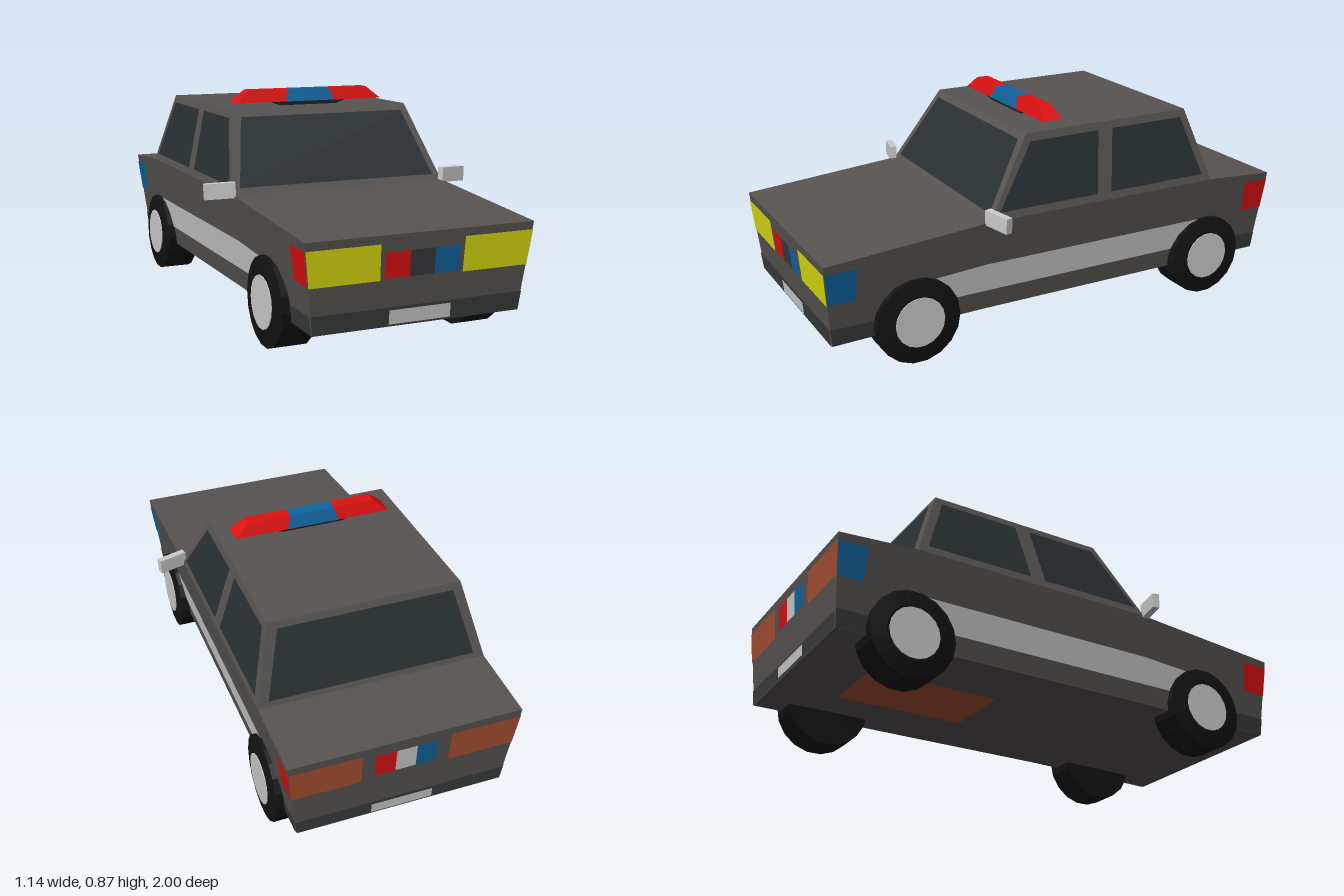
import * as THREE from 'three';

const C = {
  body: 0x575452, trim: 0x3a3c3c, glass: 0x2a3032, tyre: 0x131313, dark: 0x3a3a3c,
  red: 0xdd1010, blue: 0x10649e, yellow: 0xdcdc10, orange: 0xa85032, grey: 0xcccccc,
};
const material = (color, side = THREE.FrontSide) =>
  new THREE.MeshStandardMaterial({ color, side, flatShading: true });

function fromTriangles(name, points, color, side) {
  const g = new THREE.BufferGeometry();
  g.setAttribute('position', new THREE.Float32BufferAttribute(points.flat(), 3));
  g.computeVertexNormals();
  const mesh = new THREE.Mesh(g, material(color, side));
  mesh.name = name;
  return mesh;
}

// Fan triangles of a convex polygon
function fan(p) {
  const out = [];
  for (let i = 1; i < p.length - 1; i++) out.push(p[0], p[i], p[i + 1]);
  return out;
}

// Closed solid through a row of rings, each counter-clockwise seen from the end
function loft(name, rings, color) {
  const tris = [...fan([...rings[0]].reverse()), ...fan(rings[rings.length - 1])];
  for (let i = 0; i < rings.length - 1; i++) {
    rings[i].forEach((a, j) => {
      const k = (j + 1) % rings[i].length;
      tris.push(...fan([a, rings[i][k], rings[i + 1][k], rings[i + 1][j]]));
    });
  }
  return fromTriangles(name, tris, color);
}

// Level rectangle, used for tapered blocks
const rect = (x0, x1, z0, z1, y) => [[x0, y, z1], [x1, y, z1], [x1, y, z0], [x0, y, z0]];

// Surfaces of the body and cabin, on which the thin panels lie
const E = 0.003;
const sideX = (y) => 0.41 + (y - 0.135) * 0.122;
const cabinX = (y) => 0.456 - (y - 0.51) * 0.25;
const onSide = (s) => (z, y) => [s * (sideX(y) + E), y, z];
const onCabin = (s) => (z, y) => [s * (cabinX(y) + E), y, z];
const onFront = (x, y, e = E) => [x, y, 0.97 + (y - 0.13) * 0.091 + e];
const onBack = (x, y, e = E) => [x, y, -0.97 - (y - 0.14) * 0.086 - e];
const onScreen = (x, y) => [x, y, 0.34 - (y - 0.51) * 0.633 + E];
const onRearScreen = (x, y) => [x, y, -0.69 + (y - 0.51) * 0.333 - E];

export function createModel() {
  const car = new THREE.Group();
  car.name = 'car';
  const panel = (name, pts, map, color, layer = E) => car.add(
    fromTriangles(name, fan(pts.map(([u, v]) => map(u, v, layer))), color, THREE.DoubleSide));
  const box2 = (u0, u1, v0, v1) => [[u0, v0], [u1, v0], [u1, v1], [u0, v1]];

  // Lower body, from back to front
  const section = ([zb, yb, zt, yt]) => [
    [-sideX(yb), yb, zb], [sideX(yb), yb, zb], [sideX(yt), yt, zt], [-sideX(yt), yt, zt]];
  car.add(loft('body', [
    [-0.97, 0.14, -1, 0.49], [-0.69, 0.14, -0.69, 0.51],
    [0.34, 0.14, 0.35, 0.51], [0.97, 0.13, 1, 0.46],
  ].map(section), C.body));

  // Cabin and its front and rear windows
  car.add(loft('cabin', [
    rect(-0.456, 0.456, -0.69, 0.34, 0.51), rect(-0.381, 0.381, -0.59, 0.15, 0.81)], C.body));
  const screen = [[-0.42, 0.533], [0.42, 0.533], [0.354, 0.785], [-0.354, 0.785]];
  panel('windscreen', screen, onScreen, C.glass);
  panel('rearWindow', screen.map(([x, y]) => [x * 0.98, y]), onRearScreen, C.glass);

  // Front lights, grille, bumper and plate
  const end = (name, map, y0, y1, lampColor, innerX, low) => {
    for (const s of [1, -1]) {
      panel(name + 'Light', [[s * (innerX + 0.003), y1], [s * innerX, y0],
        [s * sideX(y0), y0], [s * sideX(y1), y1]].reverse(), map, lampColor);
    }
    panel(name + 'Bumper', [[-sideX(low), low], [sideX(low), low],
      [sideX(0.2), 0.2], [-sideX(0.2), 0.2]], map, C.trim);
    panel(name + 'Plate', box2(-0.122, 0.122, low + 0.008, 0.19), map, C.grey, 2 * E);
  };
  end('front', onFront, 0.3, 0.43, C.yellow, 0.163, 0.13);
  end('rear', onBack, 0.33, 0.46, C.orange, 0.17, 0.14);
  [C.red, C.dark, C.blue].forEach((color, i) => panel('frontGrille',
    box2(-0.147 + i * 0.098, -0.049 + i * 0.098, 0.305, 0.4), onFront, color));
  [C.blue, C.grey, C.red].forEach((color, i) => panel('rearBadgePanel',
    box2(-0.12 + i * 0.08, -0.04 + i * 0.08, 0.345, 0.445), onBack, color));

  for (const s of [1, -1]) {
    // Side windows
    panel('frontSideWindow',
      [[0.3, 0.54], [0.135, 0.78], [-0.17, 0.78], [-0.135, 0.54]], onCabin(s), C.glass);
    panel('rearSideWindow',
      [[-0.2, 0.54], [-0.235, 0.78], [-0.565, 0.78], [-0.645, 0.54]], onCabin(s), C.glass);

    // Side stripe, corner lamps and bumper ends
    panel('sideStripe', [[0.62, 0.22], [0.62, 0.318], [0.35, 0.335], [-0.66, 0.335],
      [-0.66, 0.22]], onSide(s), C.grey);
    panel('frontCornerLamp', [[0.88, 0.305], [0.985, 0.305], [0.997, 0.43], [0.875, 0.43]],
      onSide(s), s > 0 ? C.blue : C.red);
    panel('rearCornerLamp', [[-0.885, 0.33], [-0.986, 0.33], [-0.997, 0.46], [-0.88, 0.46]],
      onSide(s), s > 0 ? C.red : C.blue);
    panel('frontBumperEnd', [[0.7, 0.137], [0.97, 0.13], [0.976, 0.2], [0.7, 0.2]],
      onSide(s), C.trim);
    panel('rearBumperEnd', [[-0.72, 0.14], [-0.97, 0.14], [-0.975, 0.21], [-0.72, 0.21]],
      onSide(s), C.trim);

    // Door mirror, swept backwards
    const mirror = new THREE.Mesh(new THREE.BoxGeometry(0.12, 0.06, 0.028), material(C.grey));
    mirror.name = 'mirror';
    mirror.position.set(s * 0.505, 0.53, 0.335);
    mirror.rotation.set(0, s * 0.24, -s * 0.04);
    car.add(mirror);

    // Wheels: tyre with bevelled outer wall, and hub disc
    for (const z of [0.64, -0.69]) {
      const wheel = new THREE.Group();
      wheel.name = z > 0 ? 'frontWheel' : 'rearWheel';
      const profile = [[0, 0], [0.17, 0], [0.17, 0.13], [0.11, 0.14], [0, 0.14]]
        .map(([r, h]) => new THREE.Vector2(r, h));
      const tyre = new THREE.Mesh(new THREE.LatheGeometry(profile, 18), material(C.tyre));
      tyre.name = 'tyre';
      const hub = new THREE.Mesh(new THREE.CylinderGeometry(0.1, 0.1, 0.006, 18), material(C.grey));
      hub.name = 'hub';
      hub.position.y = 0.14;
      wheel.add(tyre, hub);
      wheel.position.set(s * 0.319, 0.17, z);
      wheel.rotation.z = -s * Math.PI / 2;
      car.add(wheel);
    }
  }

  // Underside panel
  panel('undersidePanel', box2(-0.15, 0.15, -0.72, -0.18), (x, z) => [x, 0.14 - E, z], C.orange);

  // Roof light bar: base, blue centre and red ends
  car.add(loft('lightBarBase', [
    rect(-0.12, 0.12, -0.03, 0.03, 0.808), rect(-0.16, 0.16, -0.04, 0.04, 0.826)], C.dark));
  const lamp = (name, b0, b1, t0, t1, color) => car.add(loft(name, [
    rect(b0, b1, -0.045, 0.043, 0.826), rect(t0, t1, -0.027, 0.025, 0.876)], color));
  lamp('lightBarCentre', -0.108, 0.108, -0.093, 0.093, C.blue);
  lamp('lightBarEnd', 0.108, 0.325, 0.093, 0.265, C.red);
  lamp('lightBarEnd', -0.325, -0.108, -0.265, -0.093, C.red);

  return car;
}
